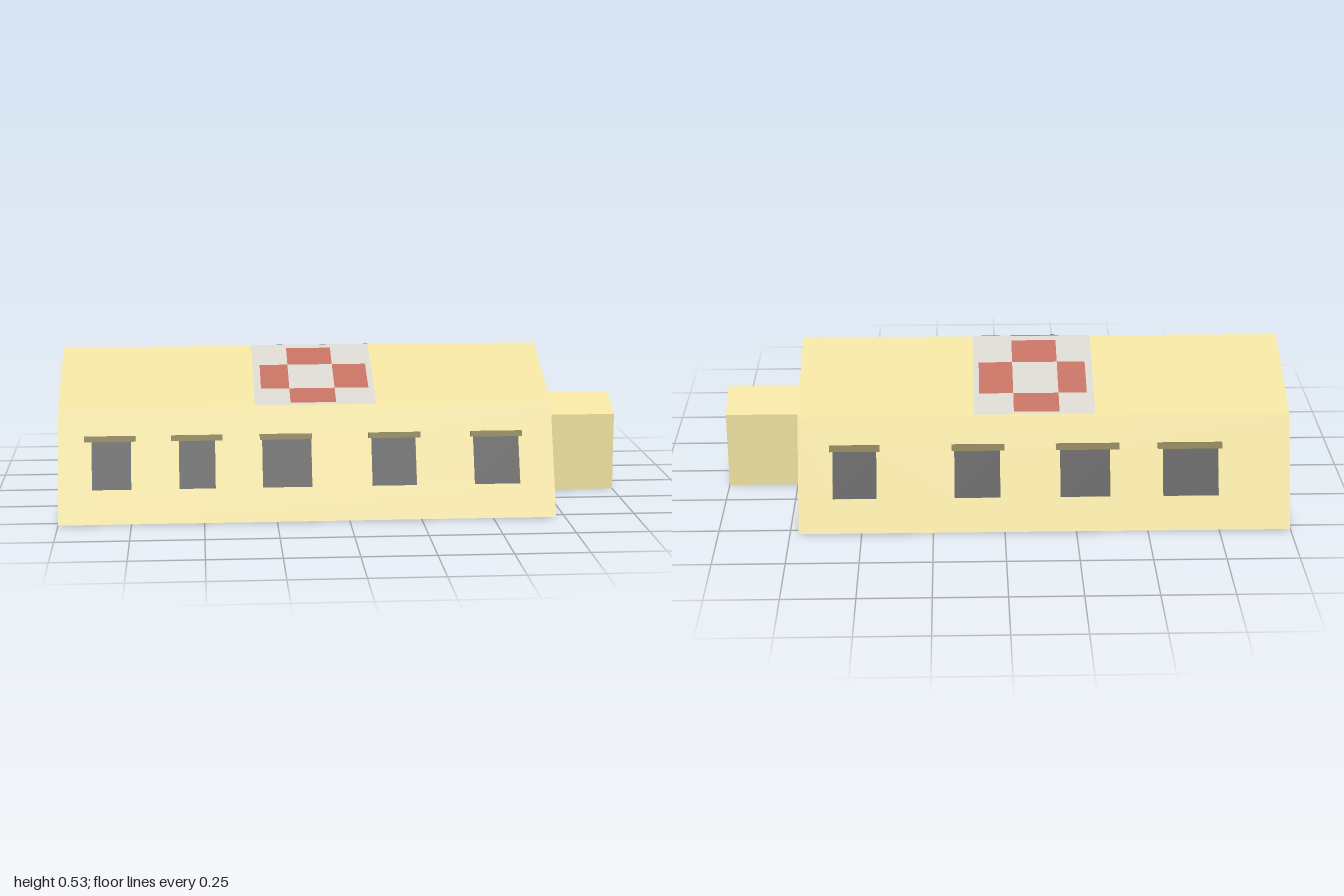
import * as THREE from 'three';

const mat = (color) => new THREE.MeshStandardMaterial({ color, flatShading: true, side: THREE.DoubleSide });
const canvas = mat(0xeddf9f), doorCloth = mat(0xd8ca92), glass = mat(0x505050);
const rollCloth = mat(0x8f855a), white = mat(0xd6d4cc), red = mat(0xc27060);

const X0 = -1, X1 = 0.72;                      // ends of the tent body
const BASE = [0, 0.53], EAVE = [0.375, 0.375], RIDGE = [0.528, 0]; // [y, z]

function add(parent, name, geometry, material, x = 0, y = 0, z = 0) {
  const mesh = new THREE.Mesh(geometry, material);
  mesh.name = name;
  mesh.position.set(x, y, z);
  parent.add(mesh);
  return mesh;
}

const poly = (pts) => new THREE.Shape(pts.map(([x, y]) => new THREE.Vector2(x, y)));
const rect = (a, b, c, d) => poly([[a, c], [b, c], [b, d], [a, d]]);
const extrude = (shape, depth) => new THREE.ExtrudeGeometry(shape, { depth, bevelEnabled: false });
const patch = (parent, name, material, a, b, c, d, z) =>
  add(parent, name, new THREE.ShapeGeometry(rect(a, b, c, d)), material, 0, 0, z);

// symmetric gable outline from its right half, bottom to ridge
function gable(half) {
  const left = half.filter(([x]) => x > 0).map(([x, y]) => [-x, y]).reverse();
  return poly([...half, ...left]);
}

function ring(outer, inner, depth) {
  const shape = gable(outer);
  shape.holes.push(gable(inner));
  return extrude(shape, depth);
}

// frame lying on a slope: x along the tent, y up the slope, z outward
function slope(root, name, low, high, back) {
  const side = new THREE.Group(), face = new THREE.Group();
  side.name = name;
  if (back) side.rotation.y = Math.PI;
  face.position.set(0, low[0], low[1]);
  face.rotation.x = -Math.atan2(low[1] - high[1], high[0] - low[0]);
  side.add(face);
  root.add(side);
  return { face, length: Math.hypot(low[1] - high[1], high[0] - low[0]) };
}

// four coloured squares around the middle of a 3 x 3 grid
function checker(parent, xs, ys, z) {
  for (const [i, j] of [[1, 0], [0, 1], [2, 1], [1, 2]])
    patch(parent, 'checkerSquare', red, xs[i], xs[i + 1], ys[j], ys[j + 1], z);
}

// side wall with recessed windows and rolled-up blinds: [x0, x1, rollX0, rollX1]
function sideWall(root, name, windows, back) {
  const { face, length } = slope(root, name, BASE, EAVE, back);
  const flip = ([a, b]) => (back ? [-b, -a] : [a, b]);
  const wall = rect(...flip([X0, X1]), 0, length);
  const s0 = 0.12, s1 = 0.292, depth = 0.012;
  for (const w of windows) {
    const [a, b] = flip([w[0], w[1]]), [ra, rb] = flip([w[2], w[3]]);
    wall.holes.push(rect(a, b, s0, s1));
    const frame = rect(a - 0.008, b + 0.008, s0 - 0.008, s1 + 0.008);
    frame.holes.push(rect(a, b, s0, s1));
    add(face, 'windowReveal', extrude(frame, depth - 0.001), canvas, 0, 0, -depth);
    patch(face, 'windowPane', glass, a, b, s0, s1, -depth + 0.002);
    const roll = add(face, 'blindRoll', new THREE.BoxGeometry(rb - ra, 0.02, 0.02), rollCloth, (ra + rb) / 2, 0.297, 0.006);
    roll.rotation.x = 0.2;
  }
  add(face, 'wallCloth', new THREE.ShapeGeometry(wall), canvas);
}

function roofSlope(root, name, back) {
  const { face, length } = slope(root, name, EAVE, RIDGE, back);
  const m = (xs) => (back ? xs.map((x) => -x).reverse() : xs);
  patch(face, 'roofCloth', canvas, ...m([X0, X1]), 0, length, 0);
  patch(face, 'roofMarker', white, ...m([-0.32, 0.105]), 0.006, length, 0.002);
  checker(face, m([-0.295, -0.195, -0.035, 0.085]), [0.016, 0.108, 0.265, 0.378], 0.004);
}

export function createModel() {
  const root = new THREE.Group();
  root.name = 'tent';

  sideWall(root, 'frontWall', [
    [-0.885, -0.75, -0.91, -0.735], [-0.585, -0.46, -0.612, -0.435], [-0.297, -0.126, -0.305, -0.125],
    [0.083, 0.238, 0.072, 0.254], [0.44, 0.6, 0.43, 0.61],
  ], false);
  sideWall(root, 'backWall', [
    [-0.75, -0.555, -0.762, -0.537], [-0.37, -0.195, -0.402, -0.18],
    [0.015, 0.175, 0, 0.185], [0.447, 0.6, 0.435, 0.61],
  ], true);
  roofSlope(root, 'frontRoof', false);
  roofSlope(root, 'backRoof', true);

  const floor = add(root, 'floor', new THREE.PlaneGeometry(X1 - X0, 1.06), canvas, (X0 + X1) / 2, 0, 0);
  floor.rotation.x = Math.PI / 2;

  // everything in here is drawn across the tent and extruded along it
  const ends = new THREE.Group();
  ends.name = 'ends';
  ends.rotation.y = Math.PI / 2;
  root.add(ends);

  const outer = [[0.53, 0], [0.375, 0.375], [0, 0.528]];
  const inner = [[0.505, 0.018], [0.362, 0.362], [0, 0.513]];
  const recess = 0.025;
  for (const [rim, panel] of [[X0, X0 + recess], [X1 - recess, X1 - recess - 0.005]]) {
    add(ends, 'endRim', ring(outer, inner, recess), canvas, 0, 0, rim);
    add(ends, 'endPanel', extrude(gable(inner), 0.005), canvas, 0, 0, panel);
  }

  // entrance porch with two door flaps
  const porch = new THREE.Group();
  porch.name = 'porch';
  ends.add(porch);
  const porchOuter = [[0.125, 0], [0.125, 0.28], [0, 0.34]];
  const porchInner = [[0.111, 0.014], [0.111, 0.27], [0, 0.325]];
  const start = X1 - recess, door = 0.985;
  add(porch, 'porchShell', ring(porchOuter, porchInner, 1 - start), canvas, 0, 0, start);
  add(porch, 'doorFlaps', extrude(gable(porchInner), 0.01), doorCloth, 0, 0, door - 0.01);
  patch(porch, 'doorSeam', rollCloth, 0, 0.005, 0.014, 0.322, door + 0.002);
  for (const tri of [
    [[-0.085, 0.26], [-0.02, 0.107], [-0.02, 0.294]],
    [[0.025, 0.124], [0.085, 0.26], [0.025, 0.291]],
  ]) add(porch, 'doorWindow', new THREE.ShapeGeometry(poly(tri)), glass, 0, 0, door + 0.002);
  patch(porch, 'doorMarker', white, 0.064, 0.094, 0.109, 0.147, door + 0.002);
  checker(porch, [0.065, 0.074, 0.084, 0.093], [0.11, 0.122, 0.134, 0.146], door + 0.004);

  return root;
}
